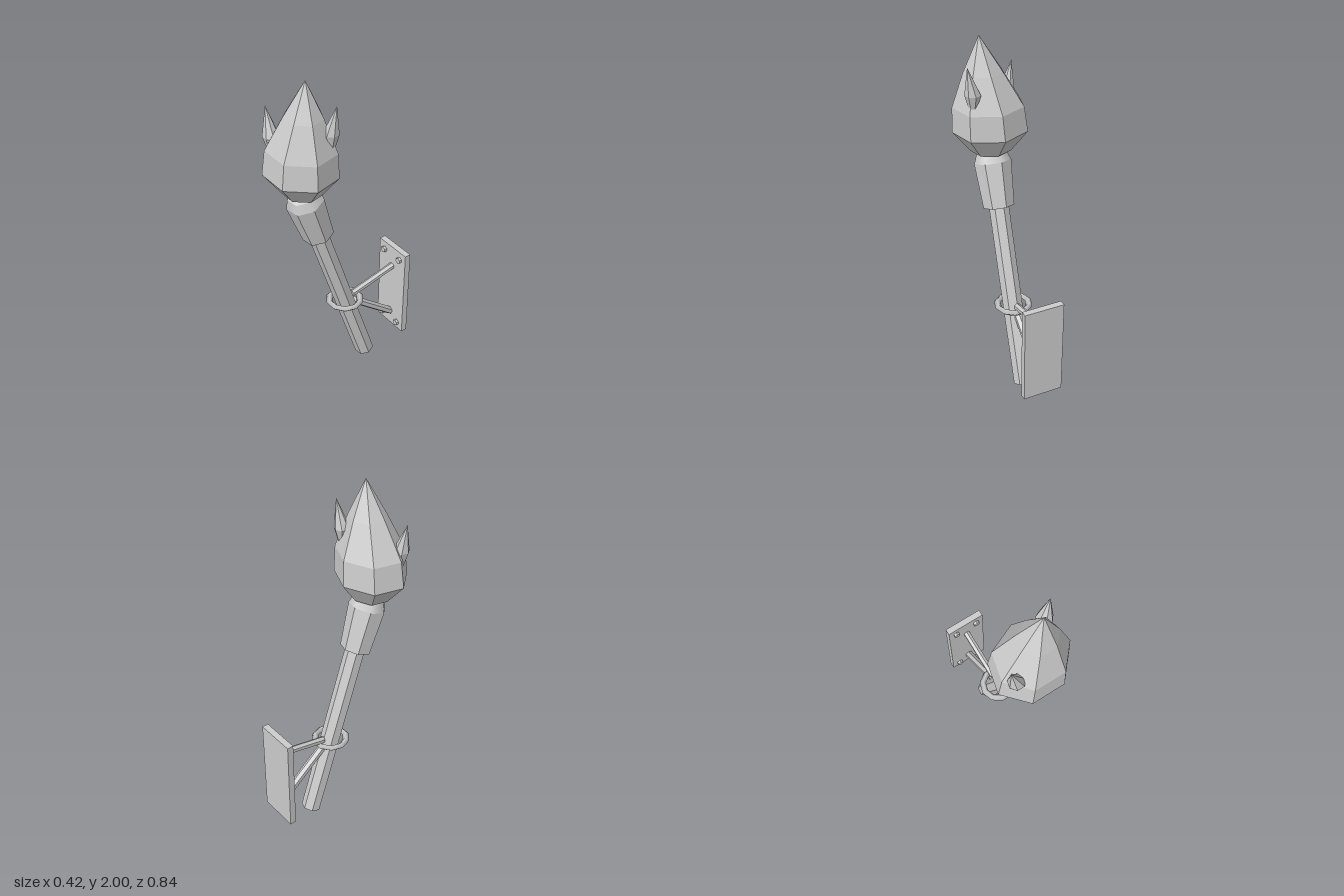
import * as THREE from 'three';

const grey = new THREE.MeshStandardMaterial({ color: 0xcccccc });
const SIDES = 7;
const TILT = THREE.MathUtils.degToRad(18);
const TURN = THREE.MathUtils.degToRad(-20);

function part(name, geometry, parent) {
  const mesh = new THREE.Mesh(geometry, grey);
  mesh.name = name;
  parent.add(mesh);
  return mesh;
}

function faceted(geometry) {
  const flat = geometry.toNonIndexed();
  flat.computeVertexNormals();
  return flat;
}

// Loft through rings [radius, y, centreX, centreZ], listed bottom to top.
function loft(rings, depth = 1, start = Math.PI) {
  const points = rings.map(([r, y]) => new THREE.Vector2(r, y));
  const geometry = new THREE.LatheGeometry(points, SIDES, start);
  const pos = geometry.attributes.position;
  for (let i = 0; i < pos.count; i++) {
    const [, , cx, cz] = rings[i % rings.length];
    pos.setXYZ(i, pos.getX(i) + cx, pos.getY(i), pos.getZ(i) * depth + cz);
  }
  return faceted(geometry);
}

// Straight bar between two points.
function bar(name, from, to, radius, parent) {
  const a = new THREE.Vector3(...from), b = new THREE.Vector3(...to);
  const dir = b.clone().sub(a);
  const mesh = part(name, faceted(new THREE.CylinderGeometry(radius, radius, dir.length(), 6)), parent);
  mesh.position.copy(a).add(b).multiplyScalar(0.5);
  mesh.quaternion.setFromUnitVectors(new THREE.Vector3(0, 1, 0), dir.normalize());
}

export function createModel() {
  const model = new THREE.Group();
  model.name = 'wallTorch';

  // Leaning torch body, built along its own axis
  const torch = new THREE.Group();
  torch.name = 'torch';
  torch.position.set(0, 0.017, -0.183);
  torch.rotation.x = TILT;
  model.add(torch);
  const tube = (name, top, bottom, y0, y1, smooth) => {
    const geometry = new THREE.CylinderGeometry(top, bottom, y1 - y0, SIDES, 1, false, TURN);
    part(name, smooth ? geometry : faceted(geometry), torch).position.y = (y0 + y1) / 2;
  };
  tube('handle', 0.057, 0.057, 0, 1.1);
  tube('sleeve', 0.105, 0.088, 1.07, 1.325);
  tube('collar', 0.083, 0.105, 1.325, 1.378, true);
  tube('neck', 0.06, 0.083, 1.378, 1.395, true);

  // Flame body with two small side tongues
  const flame = new THREE.Group();
  flame.name = 'flame';
  model.add(flame);
  part('flameBody', loft([
    [0, 1.345, 0, 0.243], [0.115, 1.345, 0, 0.243], [0.213, 1.465, 0, 0.247],
    [0.2, 1.61, 0.01, 0.246], [0.11, 1.8, 0.037, 0.247], [0, 2, 0.06, 0.247],
  ], 0.9), flame);
  part('rightTongue', loft([
    [0, 1.48, -0.13, 0.325], [0.045, 1.64, -0.132, 0.33], [0, 1.8, -0.165, 0.335],
  ]), flame);
  part('leftTongue', loft([
    [0, 1.56, 0.135, 0.16], [0.044, 1.72, 0.137, 0.158], [0, 1.88, 0.17, 0.145],
  ]), flame);

  // Wall bracket: ring, two struts, plate and bolts
  const bracket = new THREE.Group();
  bracket.name = 'bracket';
  model.add(bracket);
  const ring = part('holdingRing', new THREE.TorusGeometry(0.092, 0.019, 4, 10), bracket);
  ring.rotation.x = Math.PI / 2;
  ring.position.set(-0.003, 0.48, -0.035);

  bar('upperStrut', [-0.003, 0.495, -0.09], [-0.003, 0.56, -0.388], 0.02, bracket);
  bar('lowerStrut', [-0.003, 0.44, -0.1], [-0.003, 0.208, -0.383], 0.023, bracket);

  part('wallPlate', new THREE.BoxGeometry(0.232, 0.58, 0.037), bracket)
    .position.set(-0.004, 0.405, -0.4035);

  for (const x of [-0.072, 0.064]) {
    for (const y of [0.16, 0.643]) {
      bar('bolt', [x, y, -0.39], [x, y, -0.369], 0.019, bracket);
    }
  }
  return model;
}
